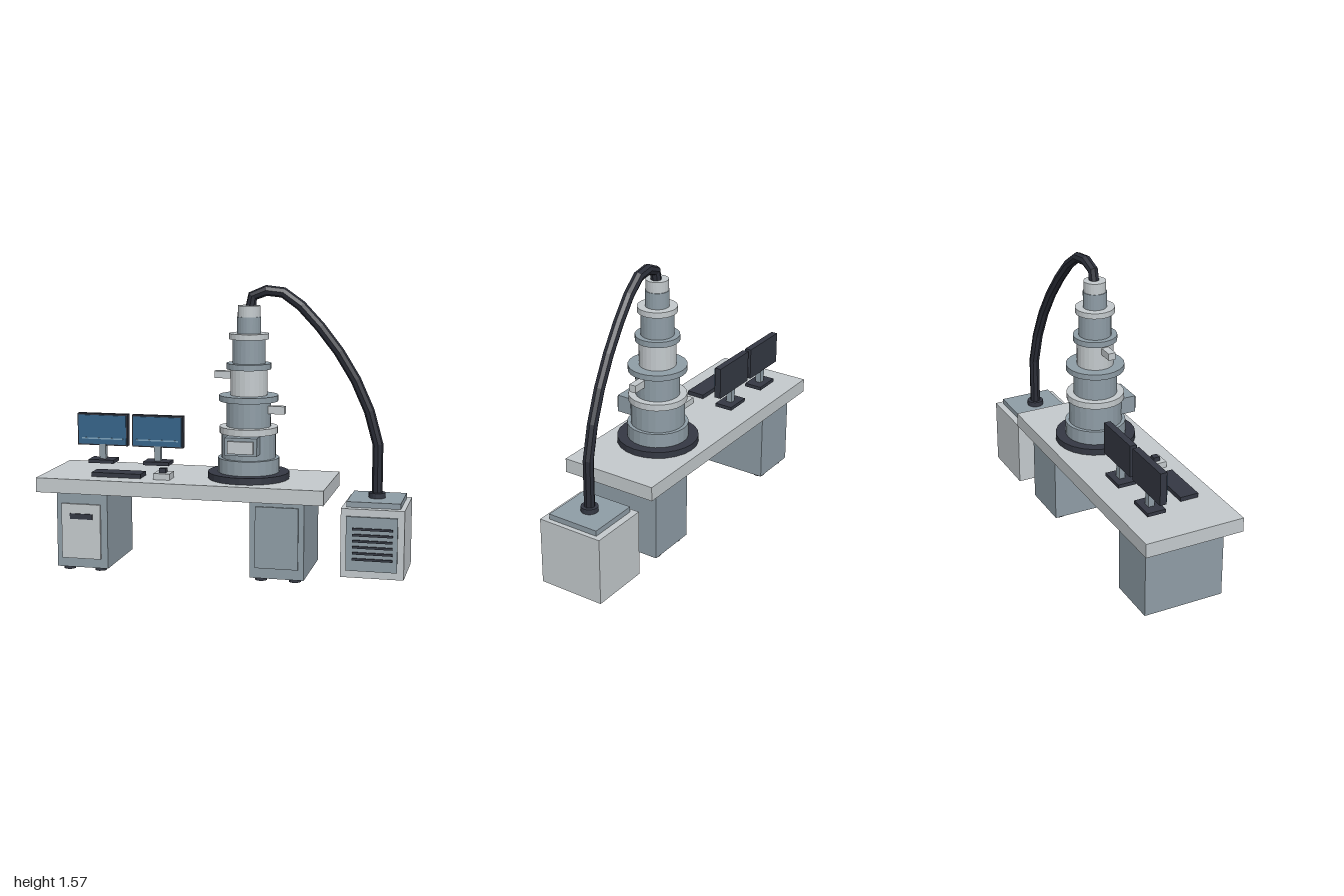
import * as THREE from 'three';

const mat = (name, color) => {
  const m = new THREE.MeshStandardMaterial({ color, flatShading: true });
  m.name = name;
  return m;
};

export function createModel() {
  const light = mat('light grey', 0xc4cacd);
  const steel = mat('blue grey', 0x8f9da6);
  const dark = mat('dark charcoal', 0x343843);
  const black = mat('hose black', 0x2a2d37);
  const blue = mat('screen blue', 0x35648a);
  const pale = mat('screen line', 0x7da3bd);

  const model = new THREE.Group();
  model.name = 'electronMicroscope';

  const add = (name, geometry, material, x, y, z) => {
    const mesh = new THREE.Mesh(geometry, material);
    mesh.name = name;
    mesh.position.set(x, y, z);
    model.add(mesh);
    return mesh;
  };
  // Box given by its lower and upper limits on each axis
  const box = (name, m, x0, x1, y0, y1, z0, z1) =>
    add(name, new THREE.BoxGeometry(x1 - x0, y1 - y0, z1 - z0), m, (x0 + x1) / 2, (y0 + y1) / 2, (z0 + z1) / 2);
  // Upright cylinder between two heights
  const cyl = (name, m, r, y0, y1, x, z, sides = 24) =>
    add(name, new THREE.CylinderGeometry(r, r, y1 - y0, sides), m, x, (y0 + y1) / 2, z);

  // Table and pedestals
  box('tableTop', light, -1, 0.59, 0.44, 0.52, -0.28, 0.28);
  for (const [x0, x1] of [[-0.9, -0.61], [0.185, 0.48]]) {
    box('pedestal', steel, x0, x1, 0.018, 0.44, -0.228, 0.228);
    for (const x of [x0 + 0.055, x1 - 0.055])
      for (const z of [-0.183, 0.183]) cyl('foot', dark, 0.033, 0, 0.02, x, z, 12);
  }
  box('cabinetDoor', light, -0.87, -0.648, 0.07, 0.375, 0.228, 0.24);
  box('doorSlot', dark, -0.82, -0.692, 0.292, 0.322, 0.24, 0.247);
  box('cabinetPanel', steel, 0.216, 0.45, 0.075, 0.41, 0.228, 0.238);

  // Two monitors
  for (const x of [-0.743, -0.42]) {
    box('monitorBase', dark, x - 0.074, x + 0.074, 0.548, 0.568, -0.174, -0.07);
    box('monitorPost', steel, x - 0.018, x + 0.018, 0.565, 0.66, -0.14, -0.106);
    box('monitorFrame', dark, x - 0.148, x + 0.148, 0.645, 0.826, -0.146, -0.109);
    box('screen', blue, x - 0.14, x + 0.14, 0.653, 0.818, -0.109, -0.102);
    box('screenLine', pale, x - 0.122, x + 0.122, 0.681, 0.689, -0.102, -0.1);
  }

  // Desk controls
  box('keyboard', dark, -0.715, -0.435, 0.52, 0.544, 0.073, 0.178);
  box('controlPad', light, -0.36, -0.268, 0.52, 0.554, 0.09, 0.185);
  box('controlKnob', dark, -0.335, -0.297, 0.554, 0.578, 0.123, 0.158);

  // Column: [name, material, radius, bottom, top]
  const cx = 0.13;
  [
    ['columnBase', dark, 0.223, 0.52, 0.556],
    ['lowerBody', steel, 0.168, 0.556, 0.635],
    ['specimenChamber', steel, 0.148, 0.635, 0.77],
    ['chamberFlange', light, 0.16, 0.77, 0.806],
    ['objectiveLens', steel, 0.121, 0.806, 0.945],
    ['wideFlange', steel, 0.161, 0.945, 0.977],
    ['condenserLens', light, 0.101, 0.977, 1.118],
    ['middleFlange', steel, 0.121, 1.118, 1.15],
    ['upperBody', steel, 0.09, 1.15, 1.28],
    ['upperFlange', light, 0.108, 1.28, 1.311],
    ['gunBody', steel, 0.065, 1.311, 1.4],
    ['gunCap', light, 0.061, 1.4, 1.46],
  ].forEach(([name, m, r, y0, y1]) => cyl(name, m, r, y0, y1, cx, 0));

  // Chamber door and side ports
  box('chamberDoor', steel, 0.042, 0.218, 0.672, 0.769, 0.1, 0.203);
  box('chamberWindow', light, 0.06, 0.2, 0.685, 0.752, 0.203, 0.219);
  box('leftPort', light, 0.2, 0.335, 0.88, 0.922, 0, 0.04);
  box('rightPort', light, -0.055, 0.06, 1.066, 1.105, -0.01, 0.032);

  // Cooling cabinet beside the table
  box('coolerBody', light, 0.66, 1, 0.025, 0.4, -0.247, 0.128);
  box('coolerLid', steel, 0.684, 0.974, 0.4, 0.43, -0.21, 0.088);
  box('coolerGrille', steel, 0.69, 0.965, 0.065, 0.36, 0.128, 0.14);
  for (let i = 0; i < 6; i++) {
    const y = 0.13 + i * 0.033;
    box('ventSlot', dark, 0.725, 0.94, y - 0.006, y + 0.006, 0.14, 0.149);
  }
  cyl('hoseCollar', dark, 0.046, 0.43, 0.458, 0.829, -0.06, 16);

  // Hose arching from the gun cap to the cooler, one tube ring per point
  const path = [[0.139, 1.45], [0.15, 1.511], [0.225, 1.541], [0.315, 1.531], [0.41, 1.462], [0.513, 1.35],
    [0.615, 1.217], [0.706, 1.067], [0.78, 0.9], [0.829, 0.72], [0.829, 0.44]];
  const curve = new THREE.CatmullRomCurve3(path.map(([x, y]) =>
    new THREE.Vector3(x, y, -0.06 * Math.pow((x - 0.13) / 0.7, 1.2))));
  curve.getUtoTmapping = (u) => u;
  add('hose', new THREE.TubeGeometry(curve, path.length - 1, 0.029, 8), black, 0, 0, 0);

  return model;
}
